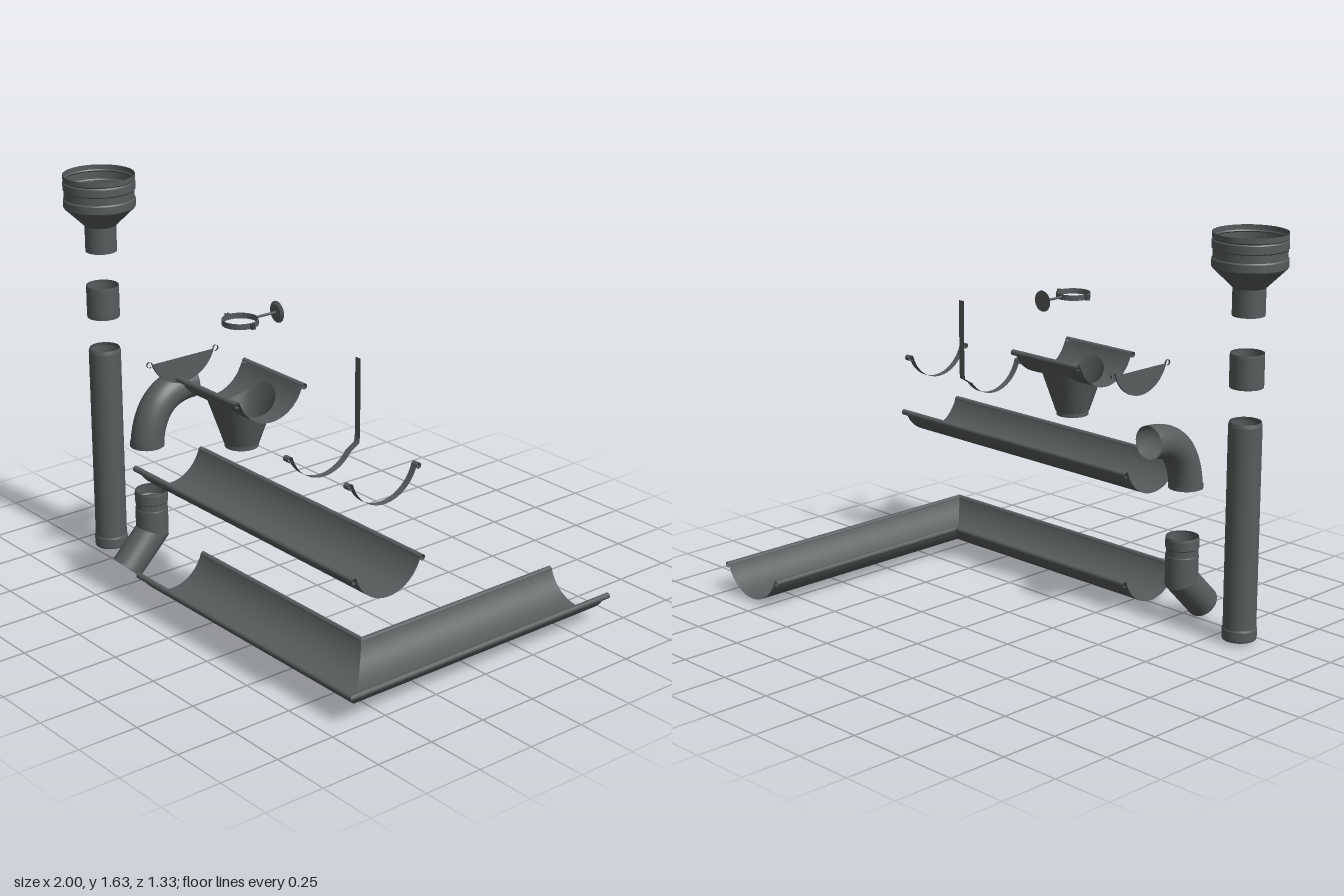
import * as THREE from 'three';

const TAU = Math.PI * 2;
const V = (x, y, z) => new THREE.Vector3(x, y, z);

// Smooth sheet through a grid of points: fn(i, j) -> Vector3
function grid(nu, nv, fn) {
  const pos = [], idx = [];
  for (let i = 0; i <= nu; i++)
    for (let j = 0; j <= nv; j++) pos.push(...fn(i, j).toArray());
  for (let i = 0; i < nu; i++)
    for (let j = 0; j < nv; j++) {
      const a = i * (nv + 1) + j, b = a + nv + 1;
      idx.push(a, a + 1, b, b, a + 1, b + 1);
    }
  const g = new THREE.BufferGeometry();
  g.setAttribute('position', new THREE.Float32BufferAttribute(pos, 3));
  g.setIndex(idx);
  g.computeVertexNormals();
  return g;
}

// Gutter cross-section [across, height below rim]: round trough with a rolled bead on each edge
const R = 0.157, PHI = 1.23, DEPTH = 0.118;
const trough = (phi) => [R * Math.sin(phi), R - DEPTH - R * Math.cos(phi)];
const arc = [], bead = [];
for (let i = 0; i <= 24; i++) arc.push(trough(PHI * (i / 12 - 1)));
for (let i = 0; i <= 14; i++) {
  const a = Math.PI - (i / 14) * 5.4;
  bead.push([0.16 + 0.012 * Math.cos(a), -0.012 + 0.012 * Math.sin(a)]);
}
const beadBack = bead.map(([u, y]) => [-u, y]).reverse();
const profile = [...beadBack, ...arc, ...bead];

export function createModel() {
  const model = new THREE.Group();
  const metal = new THREE.MeshStandardMaterial({ color: 0x585c5c, side: THREE.DoubleSide });
  metal.name = 'dark grey metal';

  const add = (name, geo, parent = model) => {
    const m = new THREE.Mesh(geo, metal);
    m.name = name;
    parent.add(m);
    return m;
  };
  const group = (name) => {
    const g = new THREE.Group();
    g.name = name;
    model.add(g);
    return g;
  };
  // Section running along x between two ends
  const run = (pts, x0, x1, y, z) =>
    grid(1, pts.length - 1, (i, j) => V(i ? x1 : x0, y + pts[j][1], z + pts[j][0]));
  const lathe = (pts) => new THREE.LatheGeometry(pts.map(([r, y]) => new THREE.Vector2(r, y)), 40);
  const turned = (name, pts, x, z, parent) => {
    // each straight piece is its own lathe so that edges stay crisp
    for (let i = 1; i < pts.length; i++)
      add(name, lathe([pts[i - 1], pts[i]]), parent).position.set(x, 0, z);
  };

  // Straight gutter
  add('straightGutter', run(profile, -0.333, 1, 0.594, 0.492));

  // Corner gutter: two arms meeting on a mitre
  const corner = group('cornerGutter');
  const cx = 0.828, cz = 0.492, rim = 0.131, n = profile.length - 1;
  add('frontArm', grid(1, n, (i, j) => {
    const [u, y] = profile[j];
    return V(i ? cx + u : -0.333, rim + y, cz + u);
  }), corner);
  add('sideArm', grid(1, n, (i, j) => {
    const [u, y] = profile[j];
    return V(cx + u, rim + y, i ? -0.667 : cz + u);
  }), corner);

  // Outlet: short gutter pierced by a funnel
  const outlet = group('gutterOutlet');
  const ox = 0.055, oy = 1.012, oz = 0.42, half = 0.187;
  const onTrough = (x, phi) => {
    const [u, y] = trough(phi);
    return V(ox + x, oy + y, oz + u);
  };
  const rimPoint = (a) => onTrough(0.11 * Math.cos(a), 1.02 * Math.sin(a));
  add('outletTrough', grid(8, 48, (i, j) => {
    const a = (j / 48) * TAU, c = Math.cos(a), s = Math.sin(a);
    const k = 1 / Math.max(Math.abs(c), Math.abs(s)), t = i / 8;
    return onTrough(
      THREE.MathUtils.lerp(0.11 * c, half * c * k, t),
      THREE.MathUtils.lerp(1.02 * s, PHI * s * k, t));
  }), outlet);
  for (const b of [bead, beadBack])
    add('outletBead', run(b, ox - half, ox + half, oy, oz), outlet);
  add('outletFunnel', grid(6, 48, (i, j) => {
    const a = (j / 48) * TAU;
    const low = V(ox + 0.07 * Math.cos(a), 0.762, oz + 0.07 * Math.sin(a));
    return rimPoint(a).lerp(low, i / 6);
  }), outlet);
  turned('outletCollar', [[0.07, 0.762], [0.066, 0.76], [0.066, 0.744]], ox, oz, outlet);

  // End cap: closed plate with a narrow flange
  const cap = group('endCap');
  const plate = new THREE.Shape(arc.map(([u, y]) => new THREE.Vector2(-u, y)));
  const plateMesh = add('capPlate', new THREE.ShapeGeometry(plate), cap);
  plateMesh.position.set(-0.32, 1.014, oz);
  plateMesh.rotation.y = Math.PI / 2;
  add('capFlange', run(profile, -0.324, -0.315, 1.014, oz), cap);

  // Gutter brackets: narrow bent straps
  add('hookBracket', run(profile, 0.838, 0.867, 0.882, 0.397));
  const strap = [[-0.172, 0.305], [-0.172, 0.0], [-0.168, -0.03], ...arc.slice(3), ...bead];
  add('longBracket', run(strap, 0.49, 0.52, 0.875, 0.392));

  // Downpipe, sleeve and hopper share one axis
  const px = -0.857, pz = 0.427;
  turned('downpipe', [[0.067, 0.012], [0.069, 0.02], [0.069, 0.055], [0.066, 0.062],
    [0.066, 0.88], [0.062, 0.895]], px, pz, group('downpipeGroup'));
  turned('sleeve', [[0.066, 1.03], [0.067, 1.04], [0.067, 1.155], [0.066, 1.165]], px, pz,
    group('sleeveGroup'));
  turned('hopper', [[0.064, 1.31], [0.064, 1.418], [0.143, 1.495], [0.146, 1.5], [0.146, 1.53],
    [0.142, 1.535], [0.142, 1.565], [0.146, 1.57], [0.146, 1.6], [0.142, 1.605],
    [0.145, 1.61], [0.145, 1.63]], px, pz, group('hopperGroup'));

  // Swept upper elbow, opening to the back
  const ex = -0.552;
  const upper = group('upperElbow');
  const bend = new THREE.CubicBezierCurve3(
    V(ex, 0.787, 0.217), V(ex, 0.787, 0.34), V(ex, 0.73, 0.425), V(ex, 0.565, 0.44));
  add('elbowBend', new THREE.TubeGeometry(bend, 24, 0.068, 32), upper);
  turned('elbowRim', [[0.07, 0.56], [0.07, 0.575]], ex, 0.44, upper);

  // Mitred lower elbow, spout tilted 45 degrees to the front
  const lower = group('lowerElbow');
  const er = 0.067, by = 0.178, len = 0.185, s45 = Math.SQRT1_2;
  const ring = (k, a) => {
    const x = ex + er * Math.cos(a), w = er * Math.sin(a);
    if (k === 0) return V(x, 0.28, pz + w);
    if (k === 1) return V(x, by + w * Math.tan(Math.PI / 8), pz + w);
    return V(x, by + (w - len) * s45, pz + (w + len) * s45);
  };
  for (const k of [0, 1])
    add(k ? 'spout' : 'elbowBody', grid(1, 40, (i, j) => ring(k + i, (j / 40) * TAU)), lower);
  turned('elbowSocket', [[0.067, 0.28], [0.065, 0.285], [0.065, 0.31], [0.068, 0.315],
    [0.068, 0.35], [0.066, 0.36]], ex, pz, lower);

  // Pipe clamp: ring, side ears, stem and wall disc
  const clamp = group('pipeClamp');
  const ky = 1.246;
  turned('clampRing', [[0.067, ky - 0.011], [0.07, ky - 0.011], [0.07, ky + 0.011],
    [0.067, ky + 0.011], [0.067, ky - 0.011]], ox, oz, clamp);
  for (const side of [-1, 1])
    for (const dz of [-0.005, 0.005])
      add('clampEar', new THREE.BoxGeometry(0.02, 0.022, 0.004), clamp)
        .position.set(ox + side * 0.077, ky, oz + dz);
  const stem = add('clampStem', new THREE.CylinderGeometry(0.005, 0.005, 0.105, 12), clamp);
  stem.rotation.x = Math.PI / 2;
  stem.position.set(ox, ky, 0.3);
  const disc = add('wallDisc', new THREE.CylinderGeometry(0.03, 0.043, 0.008, 32), clamp);
  disc.rotation.x = Math.PI / 2;
  disc.position.set(ox, ky, 0.247);

  return model;
}
